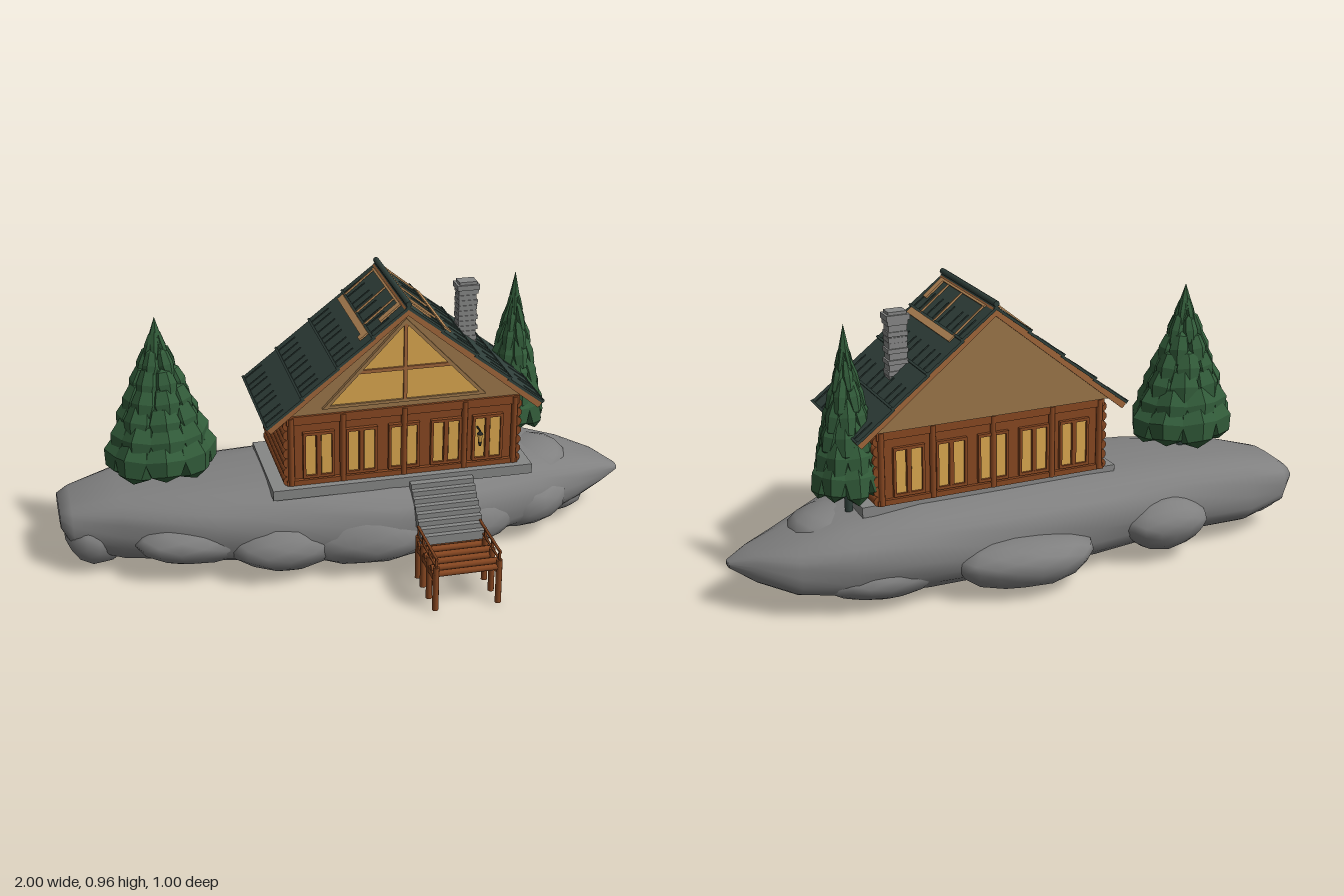
import * as THREE from 'three';
import { mergeVertices } from 'three/addons/utils/BufferGeometryUtils.js';

const mat = (name, color, opts = {}) => {
  const m = new THREE.MeshStandardMaterial({ color, ...opts });
  m.name = name;
  return m;
};

export function createModel() {
  const M = {
    rock: mat('rock', 0x808080),
    stone: mat('cutStone', 0x868786),
    log: mat('logWood', 0x874721),
    trim: mat('trimWood', 0xa0663a),
    gable: mat('gableWood', 0x9a7549),
    bare: mat('bareBoards', 0xb98a58),
    glass: mat('warmGlass', 0xd9a64f),
    roof: mat('roofShingle', 0x30403b),
    leaf: mat('foliage', 0x325c3a, { flatShading: true }),
    iron: mat('darkIron', 0x262624),
  };
  const model = new THREE.Group();
  model.name = 'lakeCabin';
  const group = (name, parent = model) => {
    const g = new THREE.Group();
    g.name = name;
    parent.add(g);
    return g;
  };
  const add = (parent, name, geo, m, x = 0, y = 0, z = 0) => {
    const mesh = new THREE.Mesh(geo, m);
    mesh.name = name;
    mesh.position.set(x, y, z);
    parent.add(mesh);
    return mesh;
  };
  const box = (p, name, m, w, h, d, x, y, z) => add(p, name, new THREE.BoxGeometry(w, h, d), m, x, y, z);
  // round bar between two points
  const bar = (p, name, m, r, a, b, sides = 8) => {
    const A = new THREE.Vector3(...a), B = new THREE.Vector3(...b);
    const mesh = add(p, name, new THREE.CylinderGeometry(r, r, A.distanceTo(B), sides), m);
    mesh.position.copy(A).add(B).multiplyScalar(0.5);
    mesh.quaternion.setFromUnitVectors(new THREE.Vector3(0, 1, 0), B.sub(A).normalize());
    return mesh;
  };

  // Rock island: rounded cross-sections along x [x, bottom, top, back, front]
  const island = group('rockIsland');
  const st = [
    [-1, 0.15, 0.21, -0.27, -0.05], [-0.96, 0.07, 0.24, -0.3, -0.01], [-0.8, 0.03, 0.285, -0.345, 0.05],
    [-0.5, 0.03, 0.305, -0.355, 0.16], [-0.2, 0.01, 0.315, -0.38, 0.21], [0.1, 0, 0.315, -0.385, 0.25],
    [0.4, 0.01, 0.312, -0.385, 0.19], [0.65, 0.03, 0.285, -0.365, 0.11], [0.82, 0.06, 0.235, -0.31, 0.02],
    [0.93, 0.1, 0.2, -0.21, -0.04], [1, 0.14, 0.16, -0.12, -0.08],
  ];
  const N = 24, pos = [], idx = [];
  const pw = (v, e) => Math.sign(v) * Math.abs(v) ** e;
  st.forEach(([x, y0, y1, z0, z1], i) => {
    for (let j = 0; j < N; j++) {
      const a = (j / N) * Math.PI * 2;
      const k = 1 + 0.02 * Math.sin(i * 2.1 + j * 1.7);
      const s = Math.sin(a);
      pos.push(x, (y0 + y1) / 2 + pw(s, 0.8) * (y1 - y0) / 2, (z0 + z1) / 2 + pw(Math.cos(a), 0.7) * k * (z1 - z0) / 2);
      const n = (j + 1) % N, b = i * N;
      if (i < st.length - 1) idx.push(b + j, b + N + j, b + n, b + n, b + N + j, b + N + n);
    }
  });
  for (const [i, flip] of [[0, false], [st.length - 1, true]]) {
    const [x, y0, y1, z0, z1] = st[i], c = pos.length / 3;
    pos.push(x, (y0 + y1) / 2, (z0 + z1) / 2);
    for (let j = 0; j < N; j++) {
      const a = i * N + j, b = i * N + (j + 1) % N;
      idx.push(c, flip ? b : a, flip ? a : b);
    }
  }
  const rockGeo = new THREE.BufferGeometry();
  rockGeo.setAttribute('position', new THREE.Float32BufferAttribute(pos, 3));
  rockGeo.setIndex(idx);
  rockGeo.computeVertexNormals();
  add(island, 'mainRock', rockGeo, M.rock);

  // Boulders bulging from the island [x, y, z, rx, ry, rz]
  [
    [-0.88, 0.11, -0.1, 0.115, 0.1, 0.13], [-0.55, 0.13, 0.03, 0.22, 0.095, 0.15], [-0.27, 0.12, 0.1, 0.22, 0.105, 0.15],
    [0.02, 0.13, 0.13, 0.25, 0.115, 0.14], [0.35, 0.13, 0.06, 0.24, 0.11, 0.16], [0.6, 0.13, 0, 0.18, 0.105, 0.14],
    [0.08, 0.11, -0.38, 0.24, 0.085, 0.12], [-0.45, 0.13, -0.34, 0.17, 0.09, 0.1], [0.55, 0.1, -0.28, 0.2, 0.08, 0.1],
    [0.74, 0.09, -0.1, 0.14, 0.08, 0.12], [-0.85, 0.14, -0.22, 0.13, 0.1, 0.1], [0.66, 0.22, -0.1, 0.15, 0.07, 0.15],
  ].forEach(([x, y, z, rx, ry, rz], i) => {
    let g = new THREE.IcosahedronGeometry(1, 2);
    g.deleteAttribute('normal');
    g.deleteAttribute('uv');
    g = mergeVertices(g, 1e-3);
    const p = g.attributes.position, v = new THREE.Vector3();
    for (let k = 0; k < p.count; k++) {
      v.fromBufferAttribute(p, k);
      v.multiplyScalar(0.97 + 0.07 * Math.sin(v.x * 3 + i * 2) * Math.cos(v.z * 3.3 + i) + 0.03 * Math.sin(v.y * 5 + i));
      p.setXYZ(k, v.x * rx, v.y * ry, v.z * rz);
    }
    g.computeVertexNormals();
    add(island, 'boulder', g, M.rock, x, y, z);
  });

  // Cabin body
  const cx = 0.145, cabin = group('cabin');
  box(cabin, 'foundation', M.stone, 0.9, 0.035, 0.387, 0.142, 0.305, -0.046);
  box(cabin, 'walls', M.log, 0.78, 0.25, 0.355, cx, 0.447, -0.067);
  for (const s of [-1, 1]) {
    for (let i = 0; i < 7; i++) {
      const y = 0.34 + i * 0.0336;
      bar(cabin, 'wallLog', M.log, 0.0178, [cx + s * 0.395, y, 0.117], [cx + s * 0.395, y, -0.252], 10);
    }
  }
  for (const [s, z] of [[1, 0.115], [-1, -0.247]]) {
    box(cabin, 'headerBeam', M.log, 0.8, 0.03, 0.02, cx, 0.56, z);
    box(cabin, 'sillBeam', M.log, 0.8, 0.018, 0.02, cx, 0.333, z);
    for (const px of [-0.385, -0.21, 0, 0.21, 0.385]) bar(cabin, 'wallPost', M.log, 0.011, [cx + px, 0.325, z + s * 0.004], [cx + px, 0.57, z + s * 0.004]);
    // five framed windows on each long face
    for (let i = -2; i <= 2; i++) {
      const w = group('window', cabin);
      w.position.set(cx + i * 0.146, 0.43, z);
      for (const q of [-1, 1]) {
        box(w, 'pane', M.glass, 0.034, 0.145, 0.006, q * 0.027, 0, 0);
        box(w, 'sideFrame', M.log, 0.009, 0.165, 0.02, q * 0.049, 0, 0);
        box(w, 'crossFrame', M.log, 0.107, 0.01, 0.02, 0, q * 0.078, 0);
      }
      box(w, 'mullion', M.log, 0.015, 0.15, 0.018, 0, 0, 0);
    }
  }

  // Gable ends with the glazed front triangle
  const tri = (hw, y0, y1) => new THREE.Shape([new THREE.Vector2(-hw, y0), new THREE.Vector2(hw, y0), new THREE.Vector2(0, y1)]);
  const ext = (shape, depth) => new THREE.ExtrudeGeometry(shape, { depth, bevelEnabled: false });
  add(cabin, 'gableBlock', ext(tri(0.43, 0.573, 0.925), 0.38), M.gable, cx, 0, -0.264);
  add(cabin, 'gableGlass', ext(tri(0.265, 0.602, 0.878), 0.006), M.glass, cx, 0, 0.115);
  const frame = tri(0.28, 0.595, 0.89);
  frame.holes.push(new THREE.Path(tri(0.255, 0.605, 0.873).getPoints().reverse()));
  add(cabin, 'gableFrame', ext(frame, 0.014), M.gable, cx, 0, 0.115);
  box(cabin, 'gablePost', M.trim, 0.012, 0.275, 0.014, cx, 0.74, 0.122);
  box(cabin, 'gableCrossbar', M.trim, 0.31, 0.012, 0.014, cx, 0.715, 0.122);

  // Roof slopes: local +x runs from the ridge down to the eave
  const roof = group('roof'), L = 0.607, zMid = -0.0625, ang = Math.atan2(0.385, 0.472);
  for (const s of [1, -1]) {
    const holder = group('roofSide', roof);
    holder.position.set(cx, 0.94, zMid);
    holder.rotation.y = s > 0 ? 0 : Math.PI;
    const slope = group('slope', holder);
    slope.rotation.z = -ang;
    box(slope, 'roofDeck', M.trim, L + 0.008, 0.012, 0.428, L / 2, -0.014, 0);
    for (const e of [-1, 1]) box(slope, 'bargeBoard', M.trim, L + 0.006, 0.022, 0.014, L / 2, -0.014, e * 0.207);
    for (let i = 0; i < 4; i++) {
      const c = group('shingleCourse', slope);
      c.position.set((i + 0.5) * L / 4, -0.002, 0);
      c.rotation.z = 0.03;
      box(c, 'shingles', M.roof, L / 4 + 0.008, 0.009, 0.436, 0, 0, 0);
      box(c, 'courseLip', M.roof, 0.008, 0.012, 0.436, L / 8, 0.002, 0);
      for (let k = 0; k < 8; k++) box(c, 'seam', M.roof, 0.075, 0.007, 0.004, 0.035, 0.004, -0.19 + k * 0.054 + 0.008 * Math.sin(k * 2.3 + i));
    }
    // bare wood patches and battens where shingles are missing
    const patch = (w, d, x, z) => box(slope, 'barePatch', M.bare, w, 0.006, d, x, 0.008, s * (z - zMid));
    patch(0.024, 0.36, 0.168, -0.058);
    patch(0.008, 0.355, 0.02, -0.06);
    patch(0.085, 0.026, 0.06, 0.108);
    patch(0.035, 0.026, 0.175, 0.108);
    for (const z of [0.05, -0.06, -0.23]) patch(0.16, 0.004, 0.1, z);
  }
  bar(roof, 'ridgePole', M.roof, 0.01, [cx, 0.949, 0.158], [cx, 0.949, -0.281]);

  // Chimney with uneven stones
  const chimney = group('chimney');
  box(chimney, 'shaft', M.stone, 0.06, 0.25, 0.044, 0.417, 0.775, -0.103);
  for (let i = 0; i < 11; i++) {
    const o = 0.004 * Math.sin(i * 2.7);
    box(chimney, 'stoneCourse', M.stone, 0.065 + o, 0.015, 0.049 + o, 0.417 + o / 2, 0.695 + i * 0.0185, -0.103 - o / 2);
  }
  box(chimney, 'cap', M.stone, 0.078, 0.018, 0.06, 0.417, 0.897, -0.103);
  box(chimney, 'capTop', M.stone, 0.062, 0.012, 0.046, 0.417, 0.91, -0.103);

  // Lantern on the front wall
  const lantern = group('lantern');
  lantern.position.set(0.4, 0.445, 0.154);
  add(lantern, 'lampGlass', new THREE.CylinderGeometry(0.009, 0.006, 0.03, 6), M.glass);
  add(lantern, 'lampRoof', new THREE.ConeGeometry(0.012, 0.014, 6), M.iron, 0, 0.022, 0);
  add(lantern, 'lampBase', new THREE.CylinderGeometry(0.007, 0.004, 0.015, 6), M.iron, 0, -0.021, 0);
  bar(lantern, 'bracket', M.iron, 0.003, [0, 0.026, 0], [0, 0.026, -0.035], 6);

  // Stone stairs
  const stairs = group('stairs');
  for (let i = 0; i < 8; i++) box(stairs, 'step', M.stone, 0.22, 0.032, 0.032, 0.268, 0.29 - i * 0.0182, 0.157 + i * 0.0197);

  // Wooden dock
  const dock = group('dock');
  const postZ = [0.487, 0.41, 0.335, 0.274];
  for (const x of [0.158, 0.372]) {
    for (const z of postZ) {
      bar(dock, 'pile', M.log, 0.011, [x, 0.006, z], [x, 0.165, z]);
      bar(dock, 'railPost', M.log, 0.005, [x, 0.13, z], [x, 0.2, z], 6);
    }
    bar(dock, 'topRail', M.log, 0.005, [x, 0.196, 0.495], [x, 0.196, 0.266], 6);
    bar(dock, 'lowRail', M.log, 0.004, [x, 0.166, 0.495], [x, 0.166, 0.266], 6);
    box(dock, 'sideBeam', M.log, 0.014, 0.022, 0.225, x, 0.122, 0.381);
  }
  for (let i = 0; i < 6; i++) bar(dock, 'deckLog', M.log, 0.011, [0.152, 0.139, 0.285 + i * 0.04], [0.378, 0.139, 0.285 + i * 0.04]);

  // Conifers built from rings of drooping faceted boughs
  const lobe = new THREE.SphereGeometry(1, 6, 4);
  const tree = (name, x, z, y0, h, R, sz, ground) => {
    const t = group(name);
    t.position.set(x, 0, z);
    t.scale.z = sz;
    bar(t, 'trunk', M.roof, 0.014, [0, ground, 0], [0, y0 + h * 0.3, 0]);
    add(t, 'crown', new THREE.ConeGeometry(R * 0.75, h * 0.82, 8), M.leaf, 0, y0 + h * 0.53, 0);
    const rings = 7;
    for (let i = 0; i < rings; i++) {
      const f = i / rings, r = R * (1 - f) ** 0.85, n = Math.max(4, 8 - Math.floor(i / 1.6));
      for (let k = 0; k < n; k++) {
        const a = ((k + (i % 2) / 2) / n) * Math.PI * 2 + 0.3 * i;
        const wob = 1 + 0.08 * Math.sin(k * 2.4 + i * 1.3);
        const b = add(t, 'bough', lobe, M.leaf, Math.cos(a) * r * 0.66, y0 + h * (0.14 + f * 0.8), Math.sin(a) * r * 0.66);
        b.rotation.set(0, -a, 0.3);
        b.scale.set(r * 0.36, h * (0.145 - f * 0.05) * wob, r * 0.42);
      }
    }
    add(t, 'tip', new THREE.ConeGeometry(R * 0.16, h * 0.16, 6), M.leaf, 0, y0 + h * 0.92, 0);
  };
  tree('leftTree', -0.645, -0.1, 0.325, 0.555, 0.19, 0.8, 0.26);
  tree('rightTree', 0.61, -0.16, 0.345, 0.565, 0.118, 0.96, 0.26);
  return model;
}
